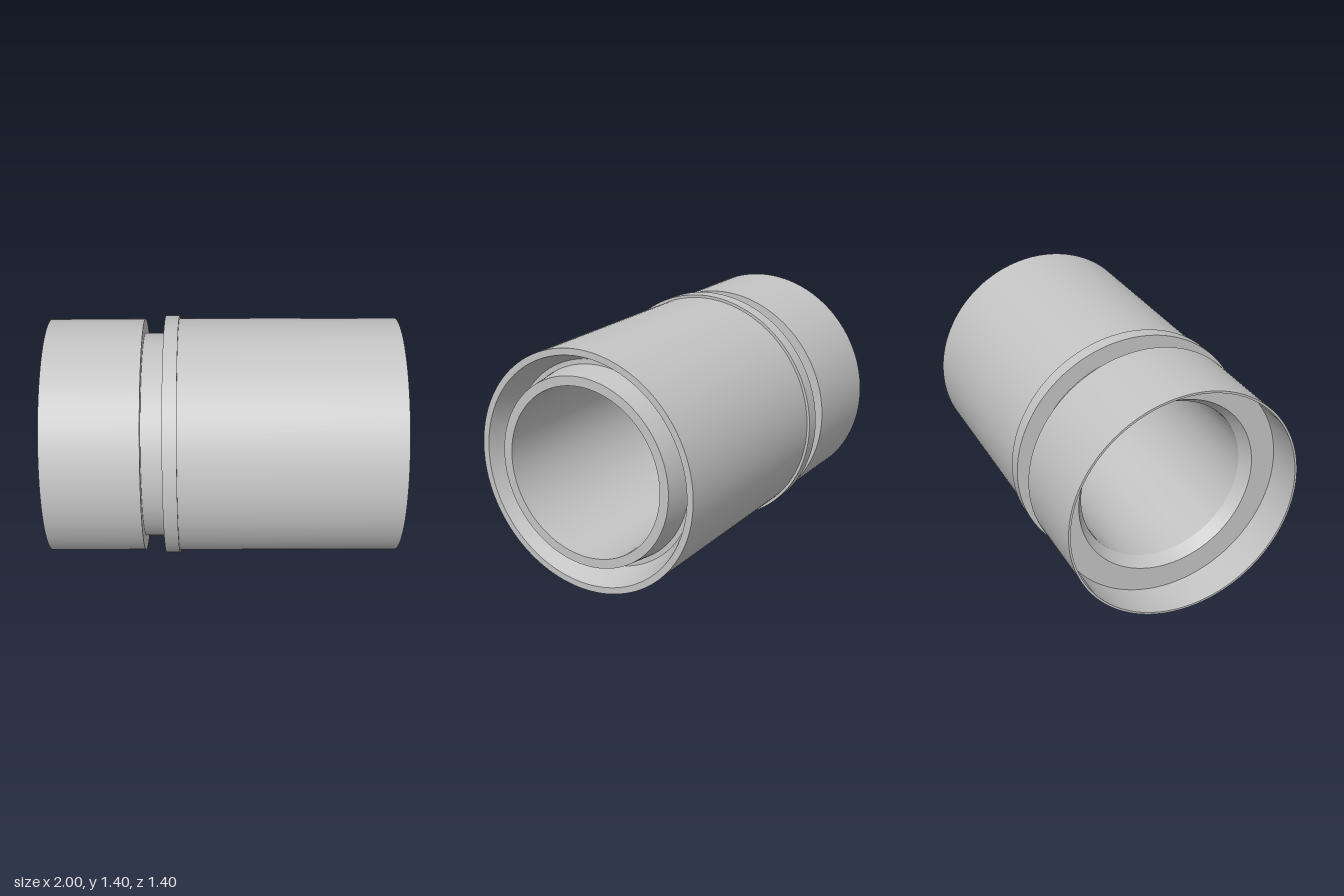
import * as THREE from 'three';
import { mergeGeometries } from 'three/addons/utils/BufferGeometryUtils.js';

const AXIS_HEIGHT = 0.698;
const SEGMENTS = 128;

// Revolves a run of [x, radius] points about the x axis, with a sharp edge at every point.
// Outer surfaces run towards +x, inner surfaces towards -x.
function turned(points) {
  const bands = [];
  for (let i = 0; i < points.length - 1; i++) {
    const pair = [points[i], points[i + 1]].map(([x, r]) => new THREE.Vector2(r, x));
    bands.push(new THREE.LatheGeometry(pair, SEGMENTS));
  }
  const geometry = mergeGeometries(bands);
  geometry.rotateZ(-Math.PI / 2);
  return geometry;
}

export function createModel() {
  const group = new THREE.Group();
  group.name = 'pipeCoupling';
  const metal = new THREE.MeshStandardMaterial({ color: 0xc4c4c4 });
  metal.name = 'lightGreyMetal';

  const parts = {
    // thin-walled sleeve on the left end, down to the groove
    leftSleeve: [[-1, 0.668], [-1, 0.68], [-0.455, 0.68], [-0.455, 0.597]],
    // recessed channel around the outside
    outerGroove: [[-0.455, 0.597], [-0.335, 0.597]],
    // raised ring beside the channel
    collar: [[-0.335, 0.597], [-0.335, 0.698], [-0.255, 0.698], [-0.255, 0.682]],
    // long main barrel and its right rim
    barrel: [[-0.255, 0.682], [1, 0.682], [1, 0.645]],
    // tapered ring channel in the right end
    endChannel: [[1, 0.645], [0.84, 0.585], [0.84, 0.557], [1, 0.535]],
    // flat end of the inner tube and the through bore
    innerTube: [[1, 0.535], [1, 0.482], [-0.71, 0.482]],
    // chamfered bore entry, shoulder and socket wall in the left end
    leftSocket: [[-0.71, 0.482], [-0.78, 0.525], [-0.78, 0.668], [-1, 0.668]],
  };

  for (const [name, points] of Object.entries(parts)) {
    const mesh = new THREE.Mesh(turned(points), metal);
    mesh.name = name;
    mesh.position.y = AXIS_HEIGHT;
    group.add(mesh);
  }
  return group;
}
